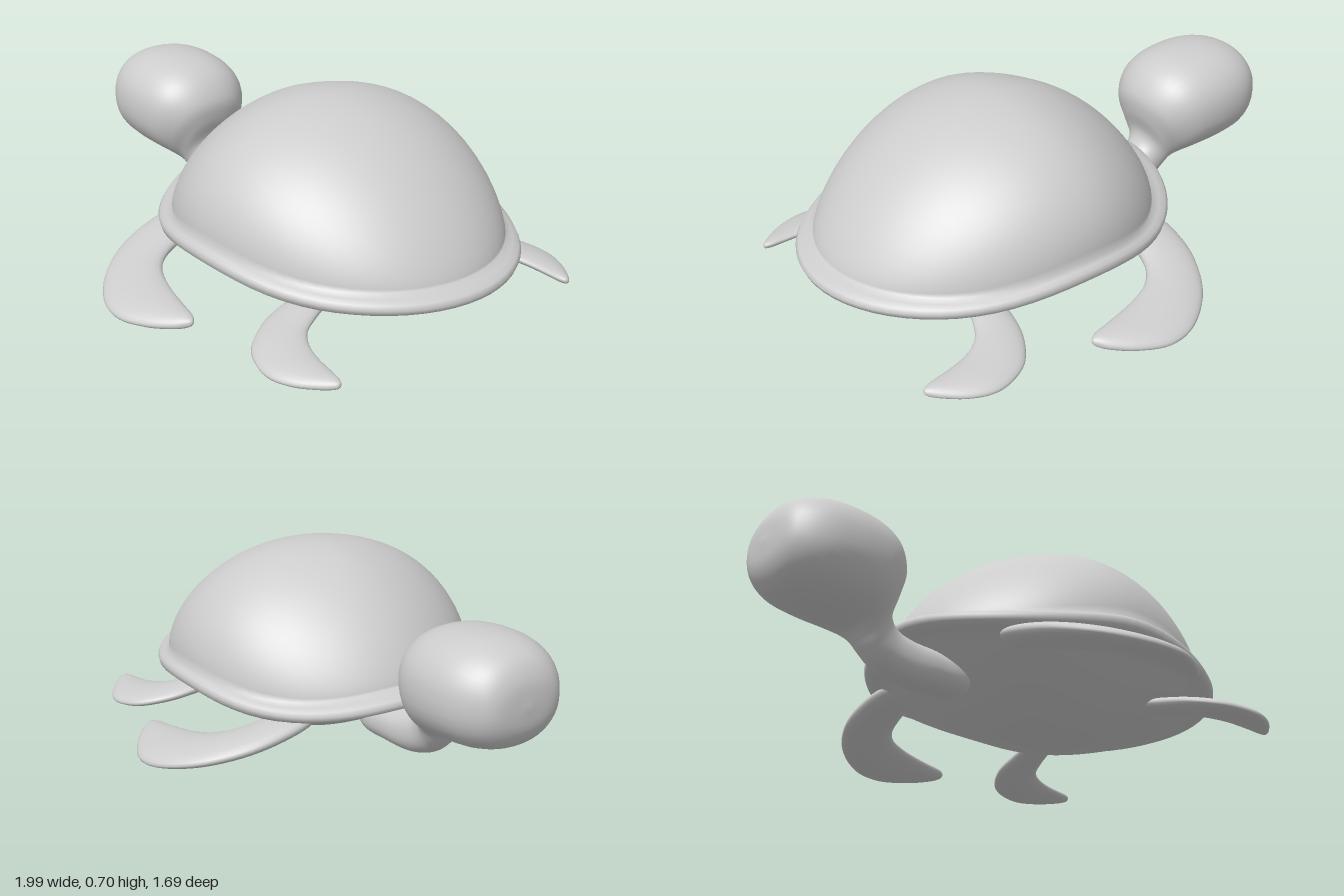
import * as THREE from 'three';
import { mergeVertices } from 'three/addons/utils/BufferGeometryUtils.js';

const V = (x, y, z) => new THREE.Vector3(x, y, z);

// Smooth closed surface from rings of points; faces always turn outwards.
function skin(rings) {
  const n = rings[0].length, index = [];
  const pts = rings.flat();
  for (let i = 0; i < rings.length - 1; i++) {
    for (let j = 0; j < n; j++) {
      const a = i * n + j, b = i * n + (j + 1) % n;
      index.push(a, b, a + n, b, b + n, a + n);
    }
  }
  let volume = 0;
  for (let k = 0; k < index.length; k += 3) {
    volume += pts[index[k]].dot(V(0, 0, 0).crossVectors(pts[index[k + 1]], pts[index[k + 2]]));
  }
  if (volume < 0) index.reverse();
  let geo = new THREE.BufferGeometry().setFromPoints(pts);
  geo.setIndex(index);
  geo = mergeVertices(geo, 1e-5);
  geo.computeVertexNormals();
  return geo;
}

// Loft through sections [pointA, pointB, halfThickness]; axis is the thickness direction.
function loft(sections, axis, steps, n, power = 1) {
  const curve = (f) => new THREE.CatmullRomCurve3(sections.map(f), false, 'catmullrom', 0.5);
  const A = curve((s) => s[0]), B = curve((s) => s[1]), W = curve((s) => V(s[2], 0, 0));
  const bend = (v) => Math.sign(v) * Math.abs(v) ** power;
  const rings = [];
  for (let i = 0; i <= steps; i++) {
    const t = i / steps, a = A.getPoint(t), b = B.getPoint(t), w = Math.max(0, W.getPoint(t).x);
    const mid = a.clone().add(b).multiplyScalar(0.5), half = a.clone().sub(b).multiplyScalar(0.5);
    rings.push(Array.from({ length: n }, (_, j) => {
      const th = (j / n) * Math.PI * 2;
      return mid.clone().addScaledVector(half, bend(Math.cos(th))).addScaledVector(axis, w * bend(Math.sin(th)));
    }));
  }
  return skin(rings);
}

// Domed shell, wavy rolled rim and shallow belly in one skin.
function shellGeometry() {
  const n = 72, rings = [];
  const ring = (f) => rings.push(Array.from({ length: n }, (_, j) => {
    const th = (j / n) * Math.PI * 2, c = Math.cos(th), s = Math.sin(th);
    const rim = 0.21 + 0.04 * s ** 10 + 0.045 * Math.max(0, -c) ** 8;
    const { r, k, y } = f(rim, s);
    const rx = c > 0 ? 0.7 + 0.07 * k : 0.59 + 0.08 * k, rz = 0.565 + 0.035 * k;
    return V(0.22 + c * rx * r, y, s * rz * r);
  }));
  // dome, steeper at the sides than at the ends
  for (let i = 0; i <= 20; i++) {
    const phi = (i / 20) * Math.PI / 2;
    ring((rim, s) => {
      const base = rim + 0.035;
      return { r: Math.sin(phi), k: 0, y: base + (0.7 - base) * Math.max(0, Math.cos(phi)) ** (1.6 - 0.6 * s * s) };
    });
  }
  // rolled rim: [outward fraction, height offset]
  for (const [k, dy] of [[0.45, 0.025], [0.85, 0.015], [1, 0], [0.9, -0.018], [0.5, -0.03]]) {
    ring((rim) => ({ r: 1, k, y: rim + dy }));
  }
  // belly
  for (let i = 0; i <= 14; i++) {
    const r = 1 - i / 14;
    ring((rim) => ({ r, k: 0, y: 0.002 + (rim - 0.037) * r ** 1.8 }));
  }
  return skin(rings);
}

// Flipper sections: [outer x, outer z, inner x, inner z, half thickness]
const FRONT = [
  [-0.17, 0.27, -0.17, 0.27, 0],
  [-0.24, 0.32, -0.1, 0.3, 0.03],
  [-0.26, 0.44, -0.08, 0.43, 0.038],
  [-0.235, 0.59, -0.05, 0.53, 0.037],
  [-0.15, 0.73, 0, 0.59, 0.035],
  [-0.02, 0.825, 0.07, 0.622, 0.033],
  [0.1, 0.845, 0.15, 0.643, 0.03],
  [0.21, 0.805, 0.23, 0.658, 0.027],
  [0.29, 0.75, 0.3, 0.67, 0.021],
  [0.325, 0.712, 0.328, 0.684, 0.012],
  [0.334, 0.695, 0.334, 0.695, 0],
];
const REAR = [
  [0.5, 0.24, 0.5, 0.24, 0],
  [0.46, 0.29, 0.56, 0.27, 0.022],
  [0.47, 0.4, 0.6, 0.37, 0.028],
  [0.495, 0.52, 0.635, 0.44, 0.028],
  [0.56, 0.62, 0.68, 0.477, 0.028],
  [0.64, 0.662, 0.73, 0.497, 0.026],
  [0.72, 0.669, 0.78, 0.508, 0.025],
  [0.8, 0.64, 0.83, 0.514, 0.022],
  [0.87, 0.59, 0.88, 0.52, 0.018],
  [0.905, 0.556, 0.906, 0.53, 0.011],
  [0.912, 0.542, 0.912, 0.542, 0],
];

function flipper(table, side, height) {
  const p = (x, z) => V(x, height(x, z), z * side);
  return loft(table.map(([ax, az, bx, bz, w]) => [p(ax, az), p(bx, bz), w]), V(0, 1, 0), 48, 24);
}

// Head flowing into the neck: [top x, top y, bottom x, bottom y, half width]
const HEAD = [
  [-1, 0.4, -1, 0.4, 0],
  [-0.988, 0.49, -0.988, 0.315, 0.115],
  [-0.945, 0.555, -0.945, 0.255, 0.175],
  [-0.86, 0.59, -0.865, 0.225, 0.22],
  [-0.75, 0.6, -0.76, 0.213, 0.235],
  [-0.62, 0.585, -0.68, 0.206, 0.227],
  [-0.53, 0.54, -0.64, 0.198, 0.205],
  [-0.475, 0.46, -0.62, 0.185, 0.165],
  [-0.475, 0.38, -0.6, 0.162, 0.12],
  [-0.5, 0.29, -0.57, 0.125, 0.09],
  [-0.47, 0.235, -0.515, 0.08, 0.08],
  [-0.4, 0.21, -0.42, 0.052, 0.083],
  [-0.3, 0.2, -0.3, 0.05, 0.09],
  [-0.17, 0.19, -0.17, 0.06, 0.085],
  [-0.1, 0.13, -0.1, 0.13, 0],
];

export function createModel() {
  const model = new THREE.Group();
  model.name = 'turtle';
  const grey = new THREE.MeshStandardMaterial({ color: 0xcccccc });
  grey.name = 'light grey';
  const add = (name, geo) => {
    const mesh = new THREE.Mesh(geo, grey);
    mesh.name = name;
    model.add(mesh);
  };

  add('shell', shellGeometry());
  add('headAndNeck', loft(
    HEAD.map(([ax, ay, bx, by, w]) => [V(ax, ay, 0), V(bx, by, 0), w]), V(0, 0, 1), 84, 40, 0.9));

  // paddles slope down and outwards, mirrored across the body
  for (const [side, label] of [[1, 'NearSide'], [-1, 'FarSide']]) {
    add('frontFlipper' + label, flipper(FRONT, side, (x, z) => 0.04 + 0.25 * (0.84 - z) - 0.05 * x));
    add('rearFlipper' + label, flipper(REAR, side, (x, z) => 0.037 + 0.2 * (0.66 - z) - 0.06 * (x - 0.6)));
  }
  return model;
}
